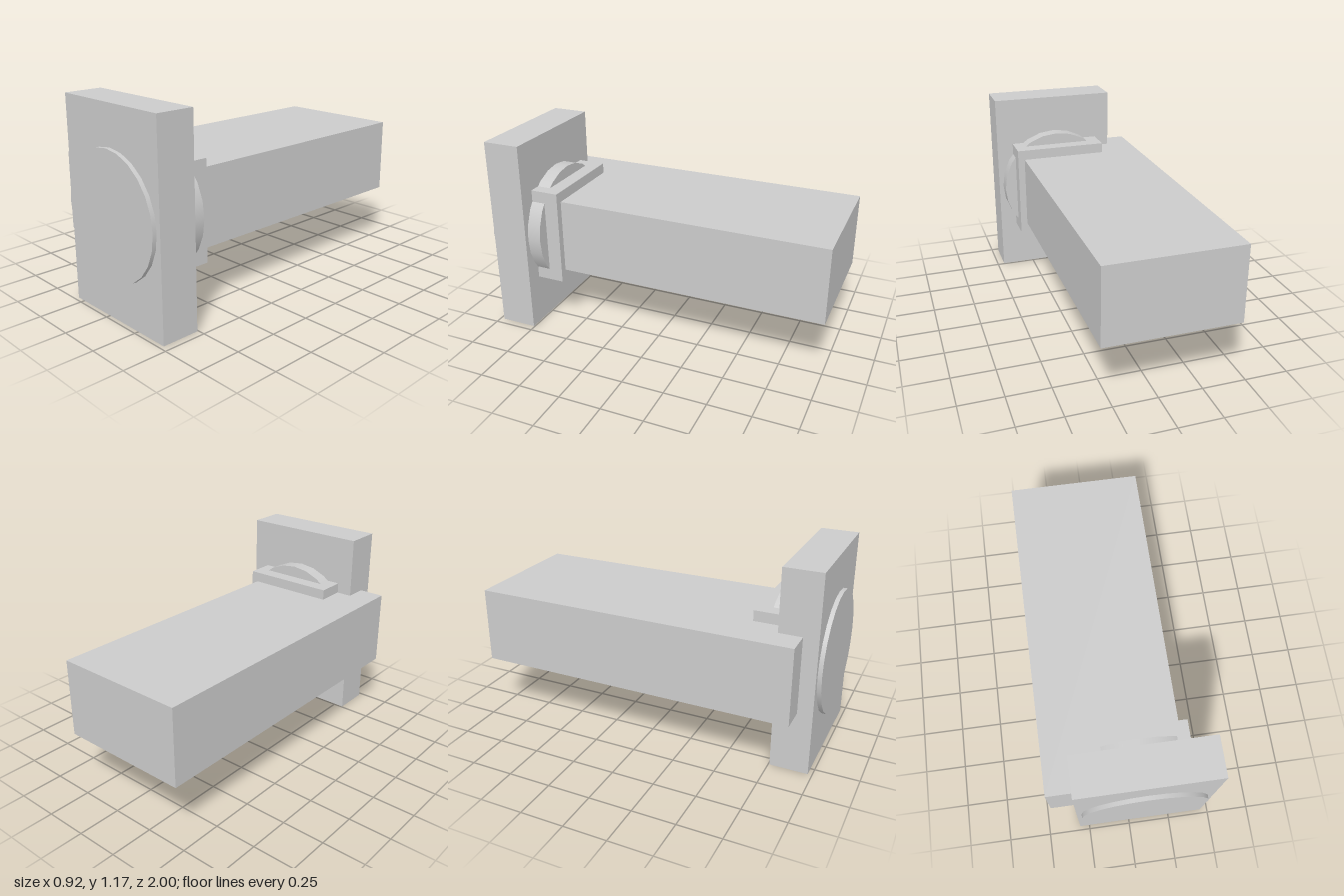
import * as THREE from 'three';

export function createModel() {
  const model = new THREE.Group();
  const grey = new THREE.MeshStandardMaterial({ color: 0xcccccc });

  const add = (name, geometry, x, y, z) => {
    const mesh = new THREE.Mesh(geometry, grey);
    mesh.name = name;
    mesh.position.set(x, y, z);
    model.add(mesh);
  };

  // Box given by its extents on each axis
  const addBox = (name, [x0, x1], [y0, y1], [z0, z1]) =>
    add(name, new THREE.BoxGeometry(x1 - x0, y1 - y0, z1 - z0),
      (x0 + x1) / 2, (y0 + y1) / 2, (z0 + z1) / 2);

  // Long body running to the back
  addBox('body', [-0.46, 0.313], [0.362, 0.808], [-1, 0.89]);

  // Upright plate across the front end
  addBox('frontPlate', [-0.308, 0.457], [0, 1.167], [0.757, 0.976]);

  // Square collar behind the plate
  addBox('collar', [-0.215, 0.355], [0.3, 0.87], [0.59, 0.757]);

  // Round disc passing through the plate, its axis along z
  const disc = new THREE.CylinderGeometry(0.356, 0.356, 0.325, 24);
  disc.rotateX(Math.PI / 2);
  add('disc', disc, 0.075, 0.585, 0.8375);

  return model;
}
